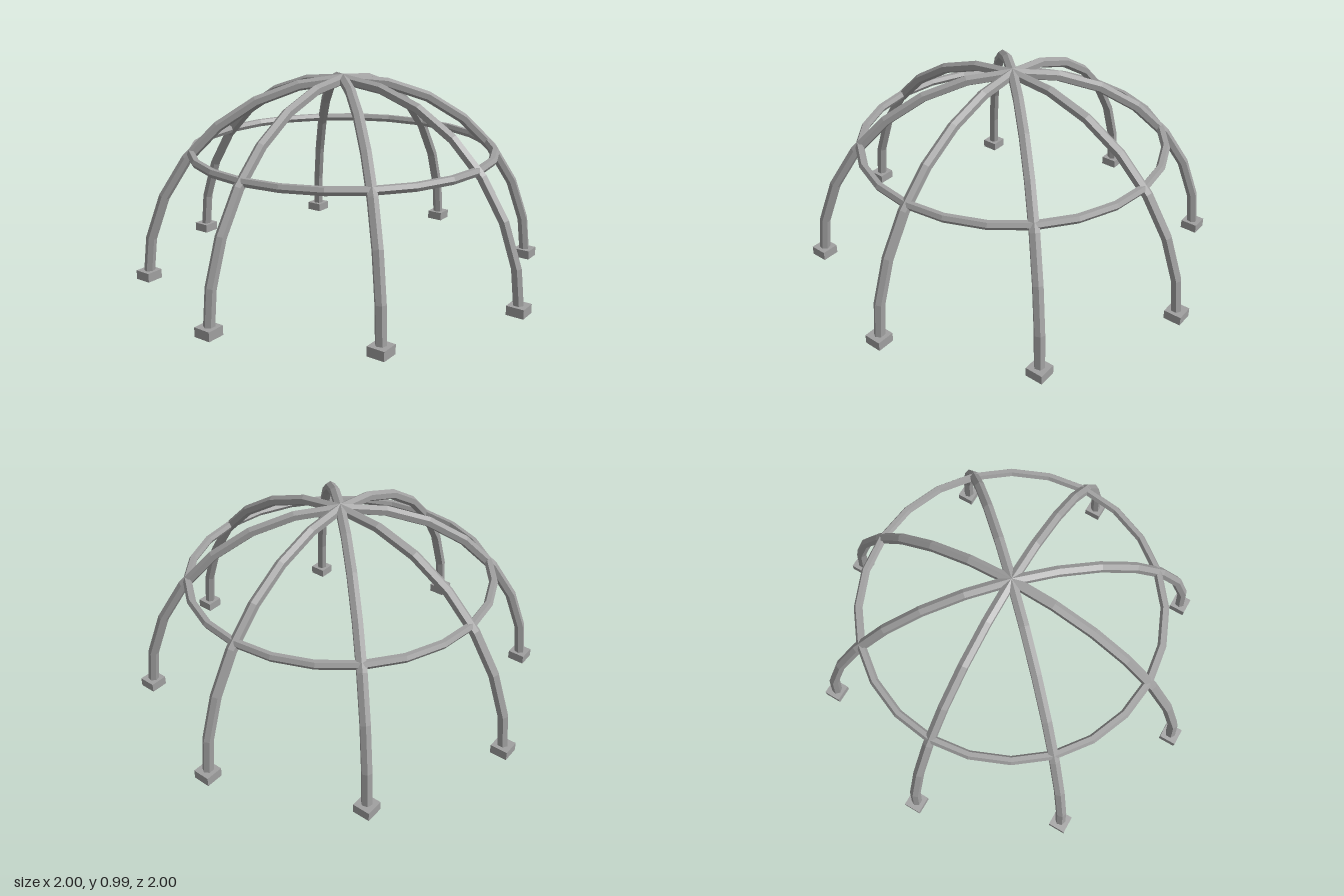
import * as THREE from 'three';

export function createModel() {
  const R = 0.96, TUBE = 0.026;
  const group = new THREE.Group();
  group.name = 'climbingDome';
  const steel = new THREE.MeshStandardMaterial({ color: 0xa0a0a0, flatShading: true });
  steel.name = 'grey steel';

  const add = (name, geometry) => {
    const mesh = new THREE.Mesh(geometry, steel);
    mesh.name = name;
    group.add(mesh);
    return mesh;
  };

  // Four half-circle hexagonal bars crossing at the top
  const archGeometry = new THREE.TorusGeometry(R, TUBE, 6, 14, Math.PI);
  const capGeometry = new THREE.CircleGeometry(TUBE, 6).rotateX(Math.PI / 2);
  for (let i = 0; i < 4; i++) {
    add('arch', archGeometry).rotation.y = (i * Math.PI) / 4;
  }

  // Eight square feet, all aligned with the axes, and the closed bar ends
  const footGeometry = new THREE.BoxGeometry(0.084, 0.044, 0.084);
  for (let i = 0; i < 8; i++) {
    const a = (i * Math.PI) / 4;
    add('foot', footGeometry).position.set(0.958 * Math.cos(a), 0.028, 0.958 * Math.sin(a));
    const cap = add('archEnd', capGeometry);
    cap.position.set(R * Math.cos(a), 0, R * Math.sin(a));
    cap.rotation.y = -a;
  }

  // Horizontal ring tying the arches together
  const ring = add('ring', new THREE.TorusGeometry(0.73, 0.021, 6, 24).rotateX(Math.PI / 2));
  ring.position.y = 0.624;

  return group;
}
